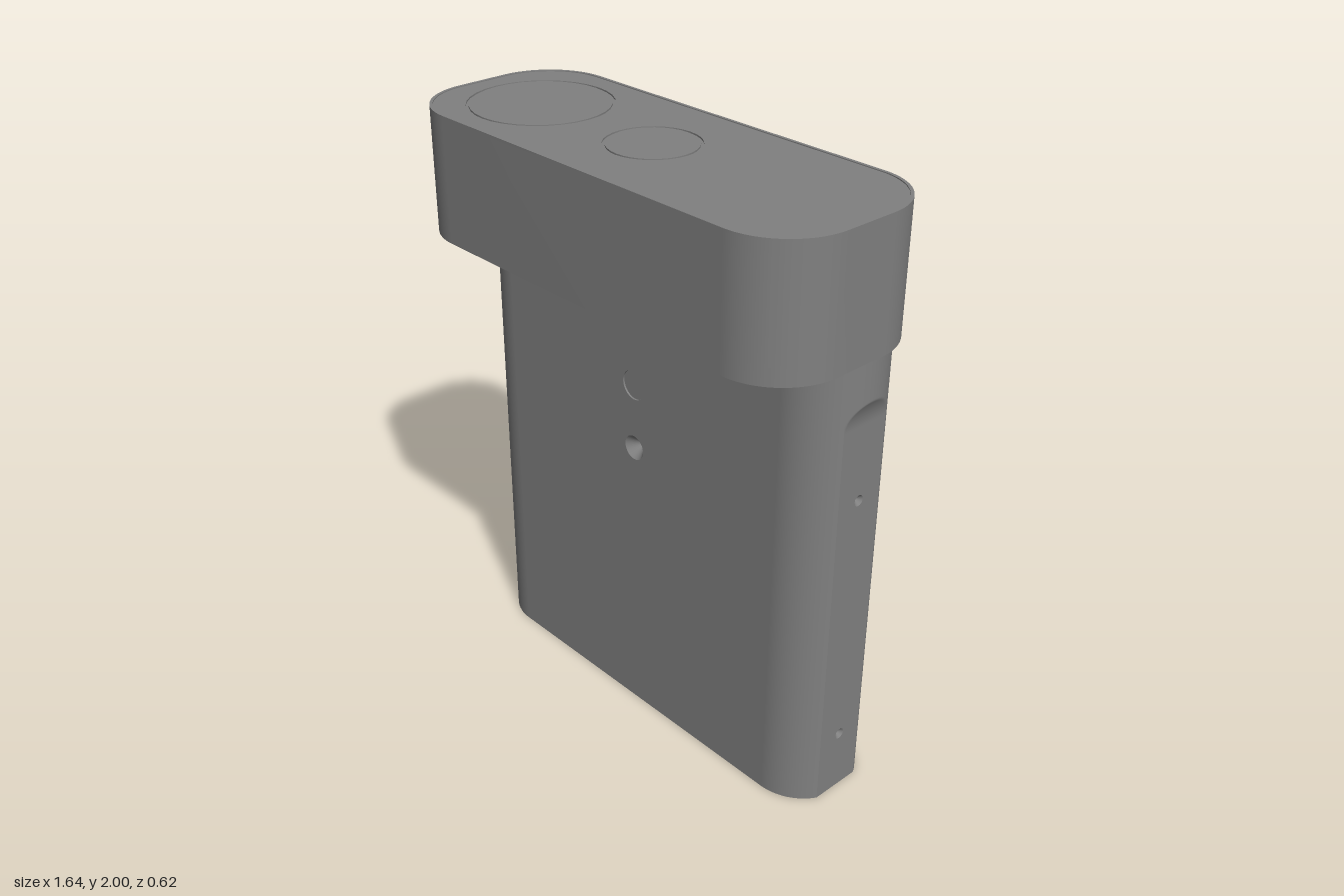
import * as THREE from 'three';
import { toCreasedNormals } from 'three/addons/utils/BufferGeometryUtils.js';

const grey = new THREE.MeshStandardMaterial({ color: 0x808080 });
const greyInside = new THREE.MeshStandardMaterial({ color: 0x808080, side: THREE.BackSide });

const H = 1.587, R = 0.183, CX = 0.61;      // body height, end radius, end centre
const FLAT = 0.77;                          // x of the flat cut on each end
const CUT = Math.acos((FLAT - CX) / R);     // half angle of the flat cut
const FLAT_TOP = 1.35;                      // height where the flat runs out
const WALL = 0.06;

function add(parent, name, geometry, x = 0, y = 0, z = 0, material = grey) {
  const mesh = new THREE.Mesh(geometry, material);
  mesh.name = name;
  mesh.position.set(x, y, z);
  parent.add(mesh);
  return mesh;
}

function roundRect(w, h, r, x = 0, y = 0) {
  const s = new THREE.Shape(), a = w / 2 - r, b = h / 2 - r, q = Math.PI / 2;
  s.absarc(x + a, y + b, r, 0, q);
  s.absarc(x - a, y + b, r, q, 2 * q);
  s.absarc(x - a, y - b, r, 2 * q, 3 * q);
  s.absarc(x + a, y - b, r, 3 * q, 4 * q);
  s.closePath();
  return s;
}

const circle = (x, y, r) => new THREE.Shape().absarc(x, y, r, 0, Math.PI * 2);

// Slab whose outer face lies at z = 0 and whose openings are cut inwards
function slab(shape, holes = [], depth = WALL) {
  shape.holes.push(...holes);
  const g = new THREE.ExtrudeGeometry(shape, { depth, bevelEnabled: false, curveSegments: 16 });
  return toCreasedNormals(g.translate(0, 0, -depth), 0.6);
}

function rectangle(x0, x1, y0, y1) {
  return new THREE.Shape([[x0, y0], [x1, y0], [x1, y1], [x0, y1]].map(p => new THREE.Vector2(...p)));
}

// Hollow cone seen from its open side, pointing along -z
const hollowCone = (r, depth) => new THREE.ConeGeometry(r, depth, 32, 1, true)
  .rotateX(-Math.PI / 2).translate(0, 0, -depth / 2);

// Shallow panel below the head, rounded at its lower corners
function panelShape() {
  const s = new THREE.Shape(), w = 0.59, r = 0.025, y0 = 1.507, y1 = 1.585;
  s.moveTo(w, y1);
  s.lineTo(-w, y1);
  s.absarc(-w + r, y0 + r, r, Math.PI, Math.PI * 1.5);
  s.absarc(w - r, y0 + r, r, Math.PI * 1.5, Math.PI * 2);
  s.closePath();
  return s;
}

// Upper part of each end: full round above, curving down into the flat cut
function scoopGeometry() {
  const g = new THREE.PlaneGeometry(1, 1, 40, 60), p = g.attributes.position;
  for (let i = 0; i < p.count; i++) {
    const a = p.getX(i) * 2 * CUT;
    const y = FLAT_TOP + (H - FLAT_TOP) * (p.getY(i) + 0.5);
    const limit = FLAT + (CX + R - FLAT) * ((y - FLAT_TOP) / 0.085) ** 2;
    p.setXYZ(i, Math.min(CX + R * Math.cos(a), limit), y, -R * Math.sin(a));
  }
  g.computeVertexNormals();
  return g;
}

function buildBody() {
  const body = new THREE.Group();
  body.name = 'body';
  body.position.z = -0.103;
  const chord = R * Math.sin(CUT), sweep = Math.PI / 2 - CUT;

  // Two halves, mirrored by a half turn
  for (let i = 0; i < 2; i++) {
    const half = new THREE.Group();
    half.name = i ? 'backHalf' : 'frontHalf';
    half.rotation.y = i * Math.PI;
    body.add(half);

    const holes = [panelShape()];
    if (!i) holes.push(circle(0, 1.237, 0.05), circle(0, 1.012, 0.042));
    add(half, 'faceWall', slab(rectangle(-CX, CX, 0, H), holes), 0, 0, R);
    add(half, 'slotPanel', slab(panelShape(), [], 0.02), 0, 0, R - 0.006);

    // Rounded corners
    for (const start of [0, Math.PI / 2 + CUT]) {
      const arc = new THREE.CylinderGeometry(R, R, H, 14, 1, true, start, sweep);
      add(half, 'roundedCorner', arc, CX, H / 2, 0);
    }

    // Flat end strip with two small conical holes, and the scoop above it
    const holeHeights = [1.098, 0.218];
    const strip = slab(rectangle(-chord, chord, 0, FLAT_TOP), holeHeights.map(y => circle(0, y, 0.018)));
    add(half, 'endStrip', strip, FLAT).rotation.y = Math.PI / 2;
    for (const y of holeHeights)
      add(half, 'endHole', hollowCone(0.018, 0.02), FLAT, y, 0, greyInside).rotation.y = Math.PI / 2;
    add(half, 'endScoop', scoopGeometry());
  }

  // Sensor disc and conical dimple on the front
  add(body, 'sensorDisc', slab(circle(0, 1.237, 0.05), [], 0.02), 0, 0, R - 0.006);
  add(body, 'dimple', hollowCone(0.042, 0.05), 0, 1.012, R, greyInside);

  // Bottom plate with sockets, a port and screw holes
  const base = new THREE.Shape();
  for (const [x, a] of [[CX, -Math.PI / 2], [CX, CUT], [-CX, Math.PI / 2], [-CX, Math.PI + CUT]])
    base.absarc(x, 0, R - 0.001, a, a + sweep);
  base.closePath();
  const sockets = [[0.61, 0.012], [0.36, 0.045], [0.1, 0.037], [-0.35, 0.045], [-0.61, 0.012]];
  const openings = sockets.map(([x, r]) => circle(x, 0, r));
  openings.push(roundRect(0.16, 0.044, 0.021, -0.09, 0));
  add(body, 'bottomPlate', slab(base, openings)).rotation.x = Math.PI / 2;

  // Inner core closing the backs of all openings
  const core = new THREE.BoxGeometry(2 * (FLAT - WALL), H - WALL, 2 * chord);
  add(body, 'core', core, 0, (H + WALL) / 2, 0);
  const wideCore = new THREE.BoxGeometry(2 * CX, H - WALL, 2 * (R - WALL));
  add(body, 'wideCore', wideCore, 0, (H + WALL) / 2, 0);
  return body;
}

function buildHead() {
  const head = new THREE.Group();
  head.name = 'head';
  const W = 1.64, D = 0.62, r = 0.22, layer = 0.008, lip = 0.003;
  const lay = (name, geometry, y) => { add(head, name, geometry, 0, y).rotation.x = -Math.PI / 2; };
  const inset = (d) => roundRect(W - 2 * d, D - 2 * d, r - d);

  lay('headBlock', slab(inset(0), [], 2 - layer - H), 2 - layer);

  // Fine lip around the top plate, and two round windows set off by hairline grooves
  lay('topLip', slab(inset(0), [inset(0.01)], layer), 2);
  const windows = [[-0.515, 0.232], [0, 0.148]], plateTop = 2 - lip;
  lay('topPlate', slab(inset(0.01), windows.map(([x, q]) => circle(x, 0, q)), layer - lip), plateTop);
  for (const [x, q] of windows)
    lay('roundWindow', slab(circle(x, 0, q - 0.009), [], layer - lip), plateTop);
  return head;
}

export function createModel() {
  const model = new THREE.Group();
  model.name = 'handheldDevice';
  model.add(buildBody(), buildHead());
  return model;
}
